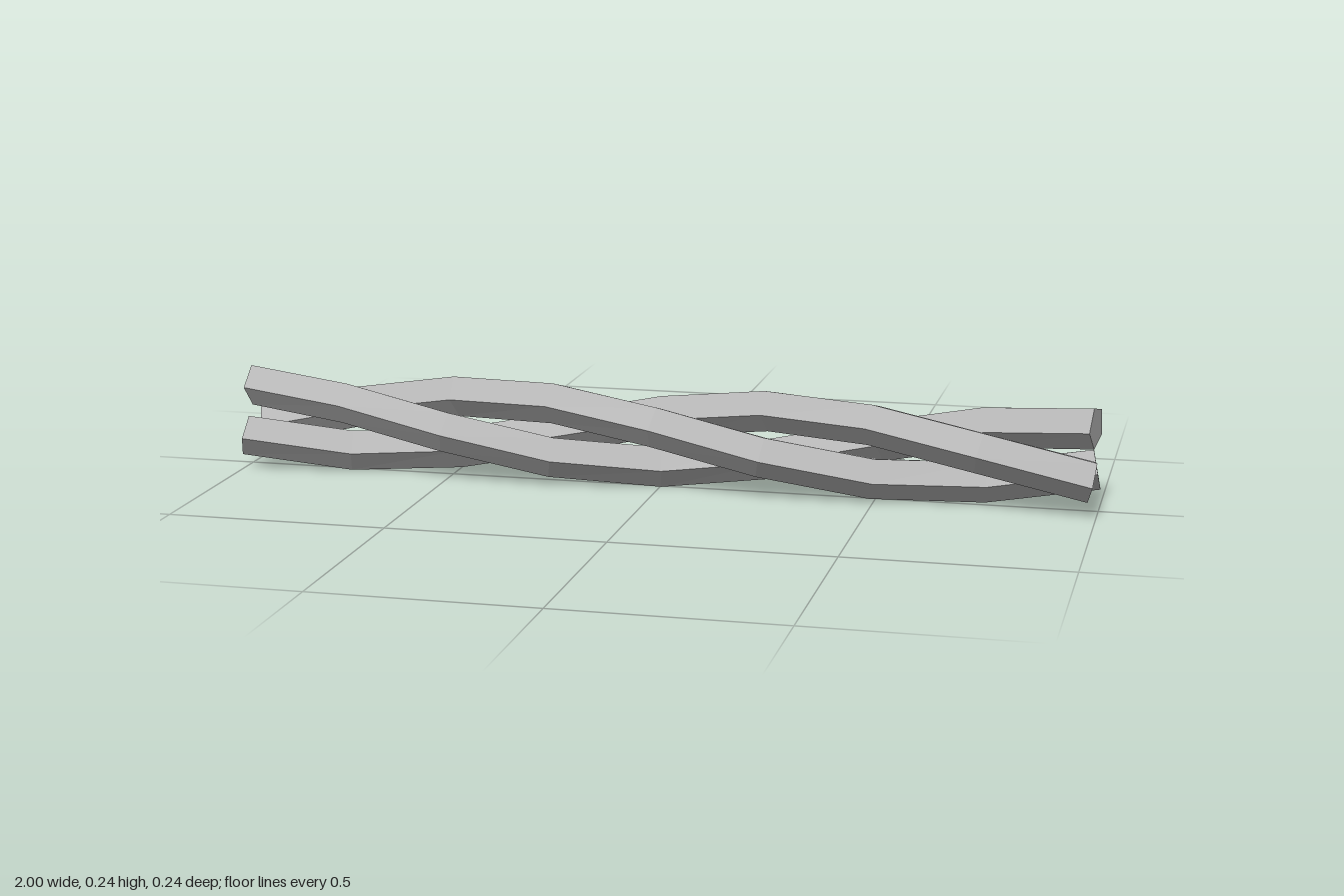
import * as THREE from 'three';

const HALF = 0.989;      // half length of each strand's centre line
const HELIX_R = 0.0715;  // distance of strands from the shared axis
const STRAND_R = 0.05;   // radius of the five-sided section
const STEPS = 8, SIDES = 5;

// Five-sided ring, square to the helix, at fraction t along a strand
function ring(t, phase) {
  const phi = t * Math.PI * 2 + phase;
  const k = Math.PI / HALF * HELIX_R;
  const centre = new THREE.Vector3(
    (t * 2 - 1) * HALF, 0.12 + HELIX_R * Math.cos(phi), HELIX_R * Math.sin(phi) - 0.005);
  const tangent = new THREE.Vector3(1, -k * Math.sin(phi), k * Math.cos(phi)).normalize();
  const front = new THREE.Vector3(0, 0, 1).projectOnPlane(tangent).normalize();
  const up = front.clone().cross(tangent);
  const points = [];
  for (let j = 0; j < SIDES; j++) {
    const a = j / SIDES * Math.PI * 2 - 0.1 * t;
    points.push(centre.clone()
      .addScaledVector(front, STRAND_R * Math.cos(a))
      .addScaledVector(up, STRAND_R * Math.sin(a)));
  }
  return points;
}

// Closed, flat-faced twisted bar
function strandGeometry(phase) {
  const rings = [];
  for (let i = 0; i <= STEPS; i++) rings.push(ring(i / STEPS, phase));
  const out = [];
  const tri = (...ps) => ps.forEach(p => out.push(p.x, p.y, p.z));
  for (let i = 0; i < STEPS; i++) {
    for (let j = 0; j < SIDES; j++) {
      const n = (j + 1) % SIDES;
      const a = rings[i][j], b = rings[i + 1][j], c = rings[i + 1][n], d = rings[i][n];
      tri(a, b, c);
      tri(a, c, d);
    }
  }
  // End caps
  const first = rings[0], last = rings[STEPS];
  for (let j = 1; j < SIDES - 1; j++) {
    tri(first[0], first[j], first[j + 1]);
    tri(last[0], last[j + 1], last[j]);
  }
  const geometry = new THREE.BufferGeometry();
  geometry.setAttribute('position', new THREE.Float32BufferAttribute(out, 3));
  geometry.computeVertexNormals();
  return geometry;
}

export function createModel() {
  const group = new THREE.Group();
  group.name = 'twistedRope';
  const grey = new THREE.MeshStandardMaterial({ color: 0xb8b8b8, flatShading: true });
  grey.name = 'light grey';
  // Three strands wound evenly around one axis
  for (let s = 0; s < 3; s++) {
    const strand = new THREE.Mesh(strandGeometry(s * Math.PI * 2 / 3), grey);
    strand.name = 'strand' + (s + 1);
    group.add(strand);
  }
  return group;
}
